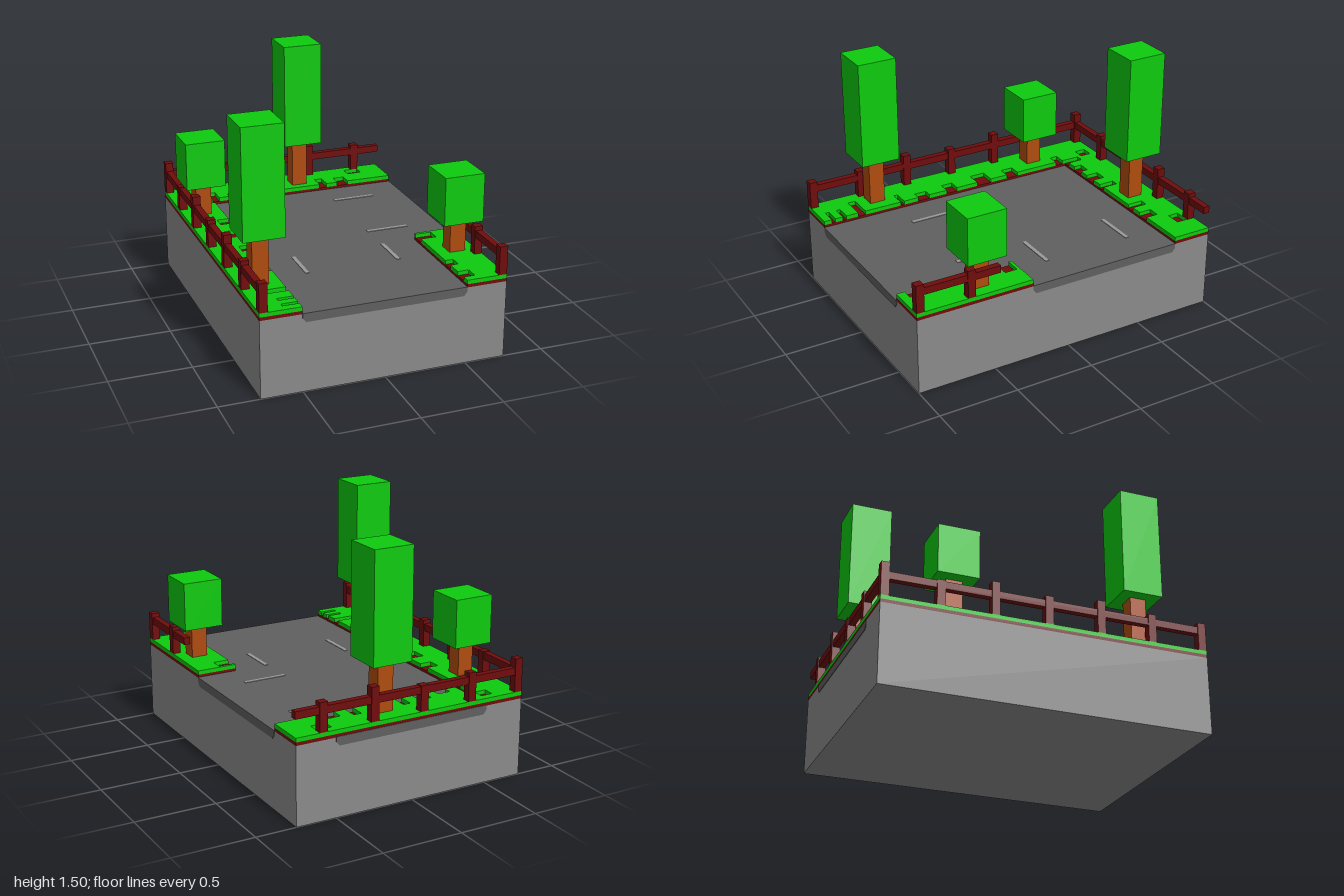
import * as THREE from 'three';

const mat = (name, color) => {
  const m = new THREE.MeshStandardMaterial({ color });
  m.name = name;
  return m;
};

export function createModel() {
  const stone = mat('stone grey', 0x8a8a8a);
  const asphalt = mat('asphalt grey', 0x5f5f5f);
  const paint = mat('lane paint', 0x999999);
  const green = mat('leaf green', 0x0ecb0e);
  const darkRed = mat('dark red wood', 0x700c0c);
  const bark = mat('bark brown', 0xb04c0e);

  const model = new THREE.Group();
  model.name = 'roadTile';

  // Box given by its min and max on each axis
  const box = (name, material, [x0, x1], [y0, y1], [z0, z1], parent = model) => {
    const mesh = new THREE.Mesh(new THREE.BoxGeometry(x1 - x0, y1 - y0, z1 - z0), material);
    mesh.position.set((x0 + x1) / 2, (y0 + y1) / 2, (z0 + z1) / 2);
    mesh.name = name;
    parent.add(mesh);
    return mesh;
  };
  const toShape = pts => new THREE.Shape(pts.map(p => new THREE.Vector2(...p)));

  // Flat slab from an outline in x and z
  const slab = (name, material, shape, bottom, top) => {
    const geo = new THREE.ExtrudeGeometry(shape, { depth: top - bottom, bevelEnabled: false });
    geo.rotateX(Math.PI / 2);
    const mesh = new THREE.Mesh(geo, material);
    mesh.position.y = top;
    mesh.name = name;
    model.add(mesh);
  };

  // Base block
  box('baseBlock', stone, [-0.75, 0.75], [0, 0.48], [-1, 1]);

  // Road surface with a branch to the right
  slab('roadSurface', asphalt, toShape([
    [-0.5, -0.75], [0.75, -0.75], [0.75, 0.25], [0.5, 0.25], [0.5, 1], [-0.5, 1],
  ]), 0.476, 0.484);

  // Road edges on the sides of the block, with chamfered lower corners
  const roadEdge = (x, z, turn) => {
    const shape = toShape([
      [-0.5, 0.484], [-0.5, 0.455], [-0.48, 0.43], [0.48, 0.43], [0.5, 0.455], [0.5, 0.484],
    ]);
    const geo = new THREE.ExtrudeGeometry(shape, { depth: 0.003, bevelEnabled: false });
    const mesh = new THREE.Mesh(geo, asphalt);
    mesh.position.set(x, 0, z);
    mesh.rotation.y = turn;
    mesh.name = 'roadEdge';
    model.add(mesh);
  };
  roadEdge(0, 1, 0);
  roadEdge(0, -1, Math.PI);
  roadEdge(0.75, -0.25, Math.PI / 2);

  // Lane dashes
  for (const z of [-0.54, 0.03]) box('laneDash', paint, [0.275, 0.545], [0.482, 0.487], [z - 0.012, z + 0.012]);
  for (const x of [-0.29, 0.287]) box('laneDash', paint, [x - 0.012, x + 0.012], [0.482, 0.487], [0.25, 0.5]);

  // Soil layer under the grass
  box('soilLeftStrip', darkRed, [-0.75, -0.5], [0.48, 0.5], [-1, 1]);
  box('soilBackStrip', darkRed, [-0.5, 0.75], [0.48, 0.5], [-1, -0.75]);
  box('soilCorner', darkRed, [0.5, 0.75], [0.48, 0.5], [0.25, 1]);

  // Grass with notches along the road: [start, end, depth position]
  const backNotches = [
    [0.45, 0.375, -0.83], [0.3, 0.25, -0.85], [-0.03, -0.075, -0.85],
    [-0.15, -0.23, -0.83], [-0.3, -0.38, -0.8], [-0.45, -0.498, -0.85],
  ].flatMap(([a, b, d]) => [[a, -0.75], [a, d], [b, d], [b, -0.75]]);
  const sideNotches = (edge, list) =>
    list.flatMap(([a, b, d]) => [[edge, a], [d, a], [d, b], [edge, b]]);
  const grass = toShape([
    [-0.75, -1], [0.75, -1], [0.75, -0.75], ...backNotches, [-0.5, -0.75],
    ...sideNotches(-0.5, [
      [-0.73, -0.68, -0.575], [-0.38, -0.3, -0.575], [-0.18, -0.08, -0.6],
      [0.07, 0.145, -0.575], [0.27, 0.35, -0.555], [0.45, 0.475, -0.6],
      [0.72, 0.77, -0.655], [0.85, 0.875, -0.6], [0.925, 0.95, -0.6],
    ]),
    [-0.5, 1], [-0.75, 1],
  ]);
  for (const [a, b] of [[-0.575, -0.5], [0.5, 0.595]]) {
    grass.holes.push(toShape([[a, -0.95], [a, -0.88], [b, -0.88], [b, -0.95]]));
  }
  slab('grassStrips', green, grass, 0.5, 0.525);
  slab('grassCorner', green, toShape([
    [0.75, 0.25], [0.75, 1], [0.5, 1],
    ...sideNotches(0.5, [[0.95, 0.87, 0.57], [0.77, 0.7, 0.55], [0.35, 0.27, 0.6]]),
    [0.5, 0.25],
  ]), 0.5, 0.525);

  // Fences: rails and posts
  const fence = new THREE.Group();
  fence.name = 'fence';
  model.add(fence);
  const rail = (xs, zs) => box('fenceRail', darkRed, xs, [0.63, 0.675], zs, fence);
  const post = (x, z, top) =>
    box('fencePost', darkRed, [x - 0.025, x + 0.025], [0.525, top], [z - 0.025, z + 0.025], fence);
  rail([-0.745, -0.705], [-0.995, 1]);
  rail([-0.745, 0.75], [-0.995, -0.955]);
  rail([0.705, 0.745], [0.46, 1]);
  [[-0.975, 0.73], [-0.65, 0.68], [-0.325, 0.73], [0, 0.7], [0.325, 0.73], [0.65, 0.7], [0.975, 0.7]]
    .forEach(([z, top]) => post(-0.725, z, top));
  [[-0.4, 0.7], [-0.075, 0.68], [0.25, 0.73], [0.575, 0.7]]
    .forEach(([x, top]) => post(x, -0.975, top));
  [[0.65, 0.7], [0.975, 0.7]].forEach(([z, top]) => post(0.725, z, top));

  // Trees: block crown on a square trunk
  const tree = (x, z, bottom, top) => {
    const group = new THREE.Group();
    group.name = 'tree';
    box('trunk', bark, [x - 0.05, x + 0.05], [0.525, bottom], [z - 0.05, z + 0.05], group);
    box('crown', green, [x - 0.125, x + 0.125], [bottom, top], [z - 0.125, z + 0.125], group);
    model.add(group);
  };
  tree(-0.625, 0.6, 0.828, 1.5);
  tree(0.125, -0.85, 0.828, 1.5);
  tree(0.625, 0.55, 0.73, 1.03);
  tree(-0.625, -0.55, 0.73, 1.03);

  return model;
}
